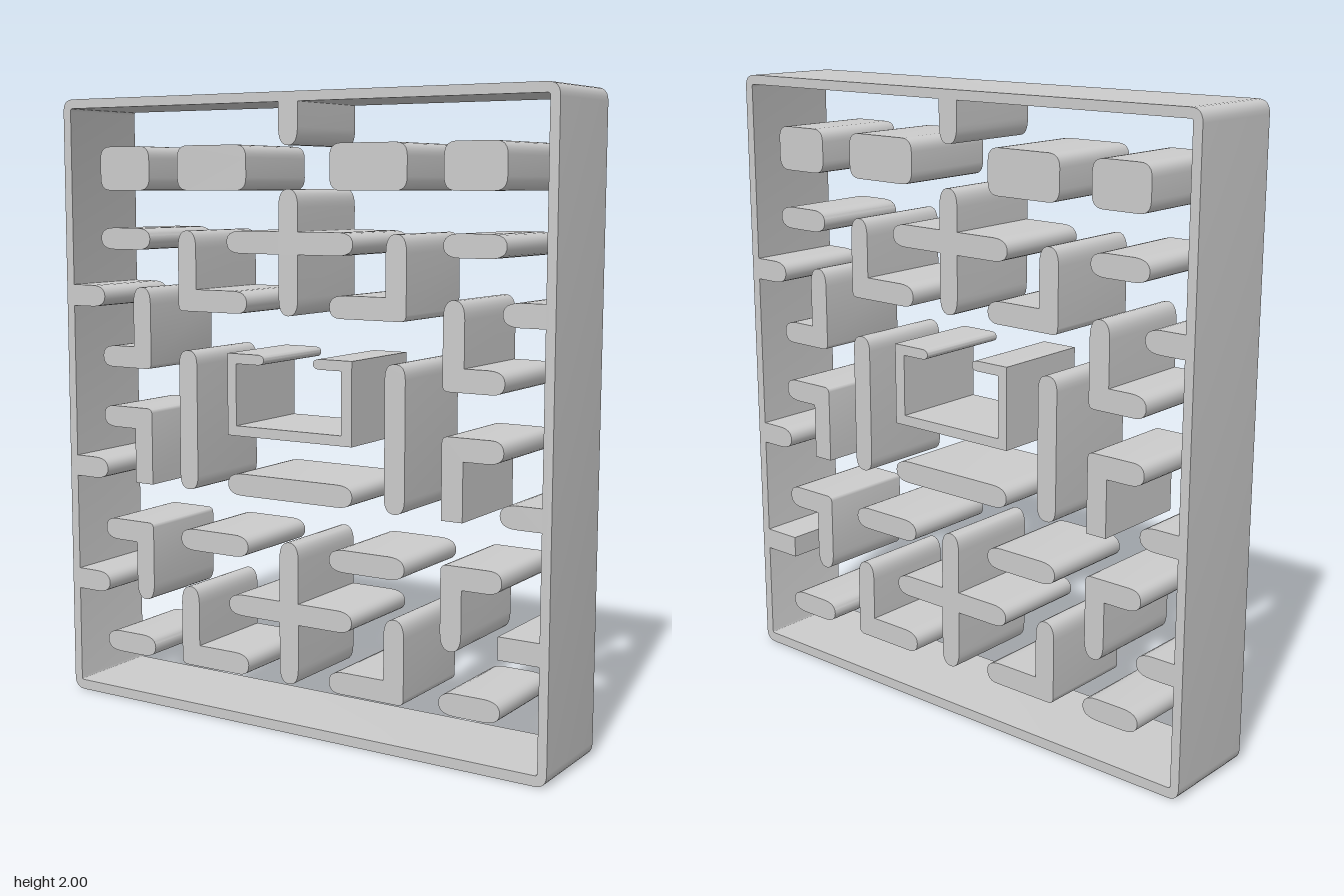
import * as THREE from 'three';
import { toCreasedNormals } from 'three/addons/utils/BufferGeometryUtils.js';

const DEPTH = 0.33;
const T = 0.07; // wall thickness
const material = new THREE.MeshStandardMaterial({ color: 0xcccccc });

// Closed outline from [x, y, cut] corners; cut is how far the rounding runs along each edge.
function outline(points, Type = THREE.Shape) {
  const path = new Type();
  const n = points.length;
  const toward = (a, b, cut) => {
    const len = Math.hypot(b[0] - a[0], b[1] - a[1]);
    const k = Math.min(cut, len / 2) / len;
    return [a[0] + (b[0] - a[0]) * k, a[1] + (b[1] - a[1]) * k];
  };
  points.forEach((p, i) => {
    const cut = p[2] || 0;
    const start = toward(p, points[(i + n - 1) % n], cut);
    if (i === 0) path.moveTo(...start);
    else path.lineTo(...start);
    if (cut) path.quadraticCurveTo(p[0], p[1], ...toward(p, points[(i + 1) % n], cut));
  });
  path.closePath();
  return path;
}

function extrude(shape, name) {
  const geometry = new THREE.ExtrudeGeometry(shape, { depth: DEPTH, bevelEnabled: false, curveSegments: 6 });
  geometry.translate(0, 0, -DEPTH / 2);
  const mesh = new THREE.Mesh(toCreasedNormals(geometry, 0.6), material);
  mesh.name = name;
  return mesh;
}

// Corner lists for the recurring wall outlines
const rect = (x0, x1, y0, y1, c = 0.055) => [[x0, y0, c], [x1, y0, c], [x1, y1, c], [x0, y1, c]];

// Elbow at (x, y), foot reaching to footX, leg reaching to legY
function elbow(x, y, footX, legY, legCut = 0.055) {
  const ix = x + Math.sign(footX - x) * T;
  const iy = y + Math.sign(legY - y) * T;
  return [[x, y, 0.02], [footX, y, 0.04], [footX, iy, 0.055], [ix, iy], [ix, legY, legCut], [x, legY, legCut]];
}

// Upright crossed by a bar at height y0..y1
function cross(bottom, top, y0, y1) {
  const h = T / 2, w = 0.23, c = 0.055;
  return [
    [-h, bottom, c], [h, bottom, c], [h, y0], [w, y0, c], [w, y1, c], [h, y1],
    [h, top, c], [-h, top, c], [-h, y1], [-w, y1, c], [-w, y0, c], [-h, y0],
  ];
}

export function createModel() {
  const model = new THREE.Group();
  model.name = 'mazePanel';
  const add = (name, points) => model.add(extrude(outline(points), name));
  const addPair = (name, points, shift = 0) => {
    add(name + 'Right', points);
    add(name + 'Left', points.map(([x, y, c]) => [-x - shift, y, c]));
  };

  // Outer frame
  const frame = outline(rect(-0.887, 0.887, 0.004, 2, 0.04));
  frame.holes.push(outline(rect(-0.857, 0.857, 0.037, 1.97, 0.008), THREE.Path));
  model.add(extrude(frame, 'frame'));

  // Stubs growing from the frame
  add('topStub', [[-0.035, 1.97], [-0.035, 1.84, 0.055], [0.035, 1.84, 0.055], [0.035, 1.97]]);
  for (const y of [0.36, 0.75, 1.325]) {
    const tip = (x, c) => [[x, y], [Math.sign(x) * 0.725, y, c], [Math.sign(x) * 0.725, y + T, c], [x, y + T]];
    add('sideStubRight', tip(-0.857, 0.055));
    add('sideStubLeft', tip(0.857, y === 0.36 ? 0 : 0.055));
  }

  // Thick blocks along the top
  addPair('outerBlock', rect(-0.733, -0.533, 1.705, 1.845, 0.04));
  addPair('innerBlock', rect(-0.42, -0.155, 1.705, 1.845, 0.04), 0.007);

  // Short bars
  for (const y of [0.165, 1.515]) addPair('outerBar', rect(-0.735, -0.533, y, y + T));
  addPair('innerBar', rect(-0.42, -0.155, 0.55, 0.62), 0.007);
  addPair('longUpright', rect(-0.42, -0.35, 0.75, 1.2, 0.045), 0.008);
  add('centreBar', rect(-0.23, 0.23, 0.75, 0.82));

  // Crosses on the centre line
  add('upperCross', cross(1.325, 1.71, 1.512, 1.582));
  add('lowerCross', cross(0.165, 0.62, 0.36, 0.428));

  // Elbow walls
  addPair('upperInnerElbow', elbow(-0.42, 1.325, -0.155, 1.58), 0.007);
  addPair('lowerInnerElbow', elbow(-0.42, 0.165, -0.155, 0.428), 0.007);
  addPair('upperOuterElbow', elbow(-0.535, 1.13, -0.735, 1.395));
  addPair('middleOuterElbow', elbow(-0.535, 1.0, -0.735, 0.75, 0));
  addPair('lowerOuterElbow', elbow(-0.535, 0.62, -0.735, 0.36));

  // Central pen with a gap in its top wall
  add('centrePen', [
    [-0.23, 0.94], [0.228, 0.94], [0.228, 1.2], [0.09, 1.2, 0.025], [0.09, 1.168, 0.025],
    [0.19, 1.168], [0.19, 0.972], [-0.197, 0.972], [-0.197, 1.168],
    [-0.092, 1.168, 0.025], [-0.092, 1.2, 0.025], [-0.23, 1.2],
  ]);

  return model;
}
